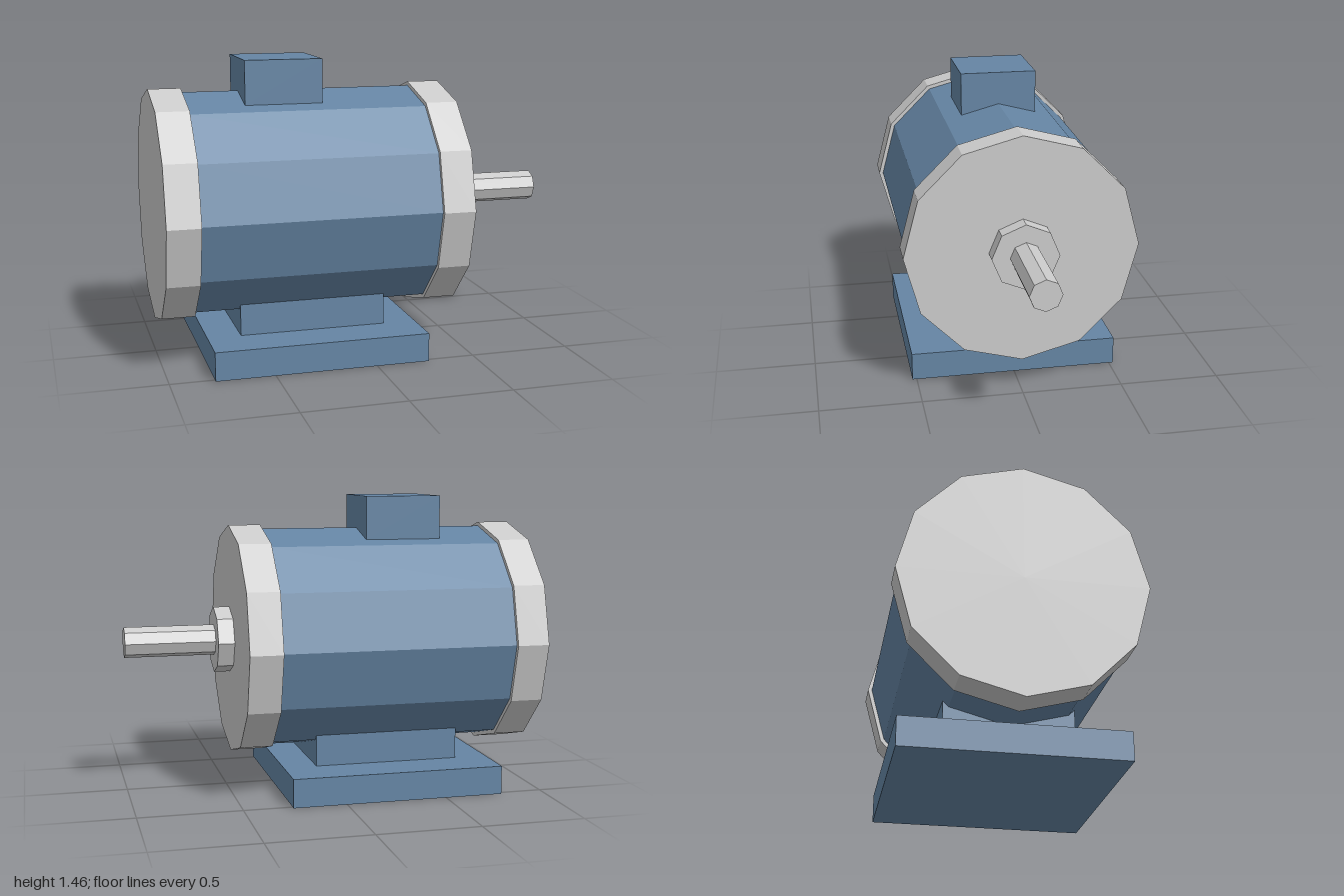
import * as THREE from 'three';

const AXIS_Y = 0.743; // height of the shaft axis

export function createModel() {
  const model = new THREE.Group();
  model.name = 'electricMotor';
  const blue = new THREE.MeshStandardMaterial({ color: 0x6585a4, flatShading: true });
  const grey = new THREE.MeshStandardMaterial({ color: 0xcccccc, flatShading: true });

  const add = (name, geometry, material) => {
    const mesh = new THREE.Mesh(geometry, material);
    mesh.name = name;
    model.add(mesh);
  };

  // Faceted cylinder along x, from x0 to x1, with a corner at the top
  const drum = (name, x0, x1, radius, sides, material) => {
    const g = new THREE.CylinderGeometry(radius, radius, x1 - x0, sides);
    g.rotateZ(-Math.PI / 2).translate((x0 + x1) / 2, AXIS_Y, 0);
    add(name, g, material);
  };

  // Block centred on z = 0
  const block = (name, x0, x1, y0, y1, depth) => {
    const g = new THREE.BoxGeometry(x1 - x0, y1 - y0, depth);
    g.translate((x0 + x1) / 2, (y0 + y1) / 2, 0);
    add(name, g, blue);
  };

  // Housing and its end caps
  drum('housing', -0.84, 0.315, 0.55, 12, blue);
  drum('rearCap', -1, -0.84, 0.57, 12, grey);
  drum('frontCap', 0.315, 0.475, 0.57, 12, grey);

  // Bearing hub and output shaft
  drum('bearingHub', 0.475, 0.555, 0.164, 8, grey);
  drum('shaft', 0.555, 1, 0.076, 8, grey);

  // Terminal box on top, pedestal and foot plate below
  block('terminalBox', -0.562, -0.182, 1.24, 1.456, 0.382);
  block('pedestal', -0.623, 0.099, 0.14, 0.296, 0.604);
  block('footPlate', -0.787, 0.263, 0, 0.14, 1.044);

  return model;
}
